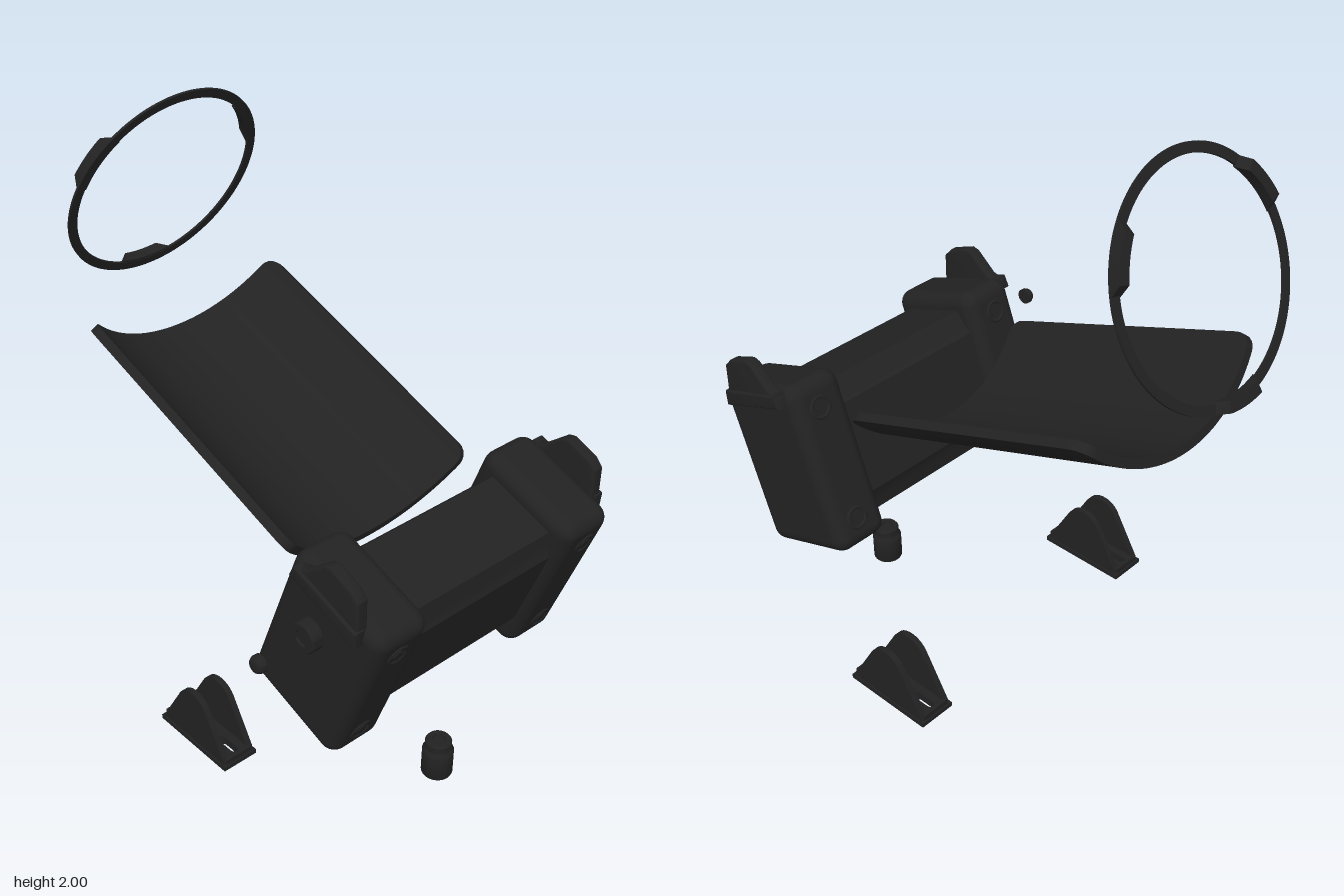
import * as THREE from 'three';
import { RoundedBoxGeometry } from 'three/addons/geometries/RoundedBoxGeometry.js';
import { toCreasedNormals } from 'three/addons/utils/BufferGeometryUtils.js';

const TILT = THREE.MathUtils.degToRad(20);
const material = new THREE.MeshStandardMaterial({ color: 0x222222 });

function add(parent, name, geometry, x = 0, y = 0, z = 0) {
  const mesh = new THREE.Mesh(geometry, material);
  mesh.name = name;
  mesh.position.set(x, y, z);
  parent.add(mesh);
  return mesh;
}

function addGroup(parent, name, x, y, z, tilt = 0) {
  const group = new THREE.Group();
  group.name = name;
  group.position.set(x, y, z);
  group.rotation.x = tilt;
  parent.add(group);
  return group;
}

// Side outline given as (z, y), extruded along x and centred on x = 0
function sideExtrude(shape, width, bevel = 0) {
  const geo = new THREE.ExtrudeGeometry(shape, {
    depth: width - 2 * bevel, curveSegments: 20, bevelEnabled: bevel > 0,
    bevelSize: bevel, bevelThickness: bevel, bevelOffset: -bevel, bevelSegments: 3,
  });
  geo.translate(0, 0, -(width - 2 * bevel) / 2).rotateY(-Math.PI / 2);
  return toCreasedNormals(geo, 0.6);
}

const polygon = (pts) => new THREE.Shape(pts.map(([a, b]) => new THREE.Vector2(a, b)));

function lathe(pts) {
  return toCreasedNormals(new THREE.LatheGeometry(pts.map(([r, y]) => new THREE.Vector2(r, y)), 32), 0.6);
}

// Move every vertex by a rule
function reshape(geo, rule) {
  const p = geo.attributes.position;
  for (let i = 0; i < p.count; i++) p.setXYZ(i, ...rule(p.getX(i), p.getY(i), p.getZ(i)));
  geo.computeVertexNormals();
  return geo;
}

// Curved plate with rounded corners
function troughGeometry() {
  const R = 0.505, half = 0.9 * R, L = 1.025, t = 0.03, r = 0.05;
  return reshape(new THREE.BoxGeometry(2 * half, t, L, 40, 1, 32), (x, y, z) => {
    const zz = (L / 2) * Math.sin((z / L) * Math.PI);
    const d = Math.max(0, Math.abs(zz) - (L / 2 - r));
    const inset = r - Math.sqrt(Math.max(0, r * r - d * d));
    const a = ((x / half) * (half - inset)) / R;
    const rad = R - (y + t / 2);
    return [rad * Math.sin(a), R - rad * Math.cos(a), zz];
  });
}

// Arc-shaped clip, shorter on its rear face
function clipGeometry(angle) {
  const R = 0.346;
  return reshape(new THREE.BoxGeometry(0.2, 0.036, 0.036, 14, 1, 1), (x, y, z) => {
    const phi = angle - (x * (z < 0 ? 0.68 : 1)) / R;
    return [(R + y) * Math.cos(phi), (R + y) * Math.sin(phi), z];
  });
}

function buildRing(root) {
  const ring = addGroup(root, 'ring', 0.05, 1.66, -0.67, 0.39);
  const shape = new THREE.Shape().absarc(0, 0, 0.365, 0, Math.PI * 2);
  shape.holes.push(new THREE.Path().absarc(0, 0, 0.334, 0, Math.PI * 2, true));
  const band = new THREE.ExtrudeGeometry(shape, { depth: 0.008, bevelEnabled: false, curveSegments: 72 });
  add(ring, 'ringBand', toCreasedNormals(band, 0.6), 0, 0, -0.004);
  for (const deg of [30, 150, 270]) {
    add(ring, 'ringClip', clipGeometry(THREE.MathUtils.degToRad(deg)), 0, 0, -0.016);
  }
}

function buildBody(root) {
  const body = addGroup(root, 'body', 0.09, 0.705, 0.565, TILT);

  // Recessed middle with stepped chamfers, mirrored front to back
  const front = [[0.125, -0.24], [0.137, -0.21], [0.15, -0.18], [0.165, -0.16],
    [0.165, 0.16], [0.15, 0.18], [0.137, 0.215], [0.125, 0.24]];
  const back = front.map(([z, y]) => [-z, y]).reverse();
  add(body, 'bodyMiddle', sideExtrude(polygon([...front, ...back]), 0.66));

  const screwRim = new THREE.TorusGeometry(0.034, 0.007, 10, 28);
  const screwHead = new THREE.CylinderGeometry(0.02, 0.024, 0.012, 6).rotateX(Math.PI / 2);
  for (const side of [-1, 1]) {
    add(body, 'endBlock', new RoundedBoxGeometry(0.205, 0.592, 0.391, 6, 0.048), side * 0.392, 0, 0);
    for (const face of [-1, 1]) {
      for (const level of [-1, 1]) {
        add(body, 'screwRim', screwRim, side * 0.4, level * 0.197, face * 0.194);
        add(body, 'screwHead', screwHead, side * 0.4, level * 0.197, face * 0.194);
      }
    }
  }
}

function buildEars(root) {
  const plate = polygon([[0.77, 0.88], [0.77, 1.03], [0.745, 1.058], [0.66, 1.092], [0.635, 1.087],
    [0.56, 1.025], [0.51, 1.015], [0.5, 0.985]]);
  const flange = polygon([[0.77, 0.88], [0.775, 0.935], [0.52, 1.025], [0.5, 0.985]]);
  for (const side of [-1, 1]) {
    const ear = addGroup(root, side < 0 ? 'rightEar' : 'leftEar', 0.09, 0, 0);
    add(ear, 'earPlate', sideExtrude(plate, 0.042, 0.008), side * 0.495, 0, 0);
    add(ear, 'earFlange', sideExtrude(flange, 0.04, 0.006), side * 0.506, 0, 0);
  }
}

function buildBracket(root, name, x) {
  const bracket = addGroup(root, name, x, 0.04, 0.055);

  // Base plate with two slots
  const base = polygon([[-0.066, -0.168], [0.066, -0.168], [0.066, 0.168], [-0.066, 0.168]]);
  for (const c of [-0.108, 0.108]) {
    const slot = new THREE.Path();
    slot.absarc(0, c + 0.03, 0.016, 0, Math.PI);
    slot.absarc(0, c - 0.03, 0.016, Math.PI, Math.PI * 2);
    base.holes.push(slot);
  }
  const plate = (depth) => new THREE.ExtrudeGeometry(base, { depth, bevelEnabled: false, curveSegments: 10 })
    .rotateX(-Math.PI / 2);
  add(bracket, 'bracketBase', plate(0.016));
  add(bracket, 'bracketFloor', plate(0.02).scale(0.78, 1, 0.97), 0, 0.015, 0);

  // Two rounded triangular cheeks
  const cheek = new THREE.Shape();
  cheek.moveTo(-0.16, 0.01);
  cheek.lineTo(0.16, 0.01);
  cheek.lineTo(0.155, 0.028);
  cheek.lineTo(0.07, 0.172);
  cheek.bezierCurveTo(0.042, 0.232, -0.042, 0.232, -0.07, 0.172);
  cheek.lineTo(-0.155, 0.028);
  for (const side of [-1, 1]) {
    add(bracket, 'bracketCheek', sideExtrude(cheek, 0.021), side * 0.05, 0, 0);
  }
}

function buildKnobs(root) {
  // Side knob and its separate cap, both turned about x
  const knob = lathe([[0, -0.022], [0.046, -0.022], [0.05, -0.018], [0.05, 0.018], [0.046, 0.023],
    [0.026, 0.023], [0.024, 0.017], [0, 0.017]]).rotateZ(Math.PI / 2);
  add(root, 'sideKnob', knob, -0.442, 0.825, 0.59);
  const stem = new THREE.CylinderGeometry(0.02, 0.02, 0.04, 20).rotateZ(Math.PI / 2);
  add(root, 'knobStem', stem, -0.412, 0.825, 0.59);
  const cap = lathe([[0, -0.015], [0.028, -0.015], [0.028, 0], [0.022, 0.011], [0.014, 0.015], [0, 0.015]])
    .rotateZ(Math.PI / 2);
  add(root, 'knobCap', cap, -0.63, 0.826, 0.594);

  // Loose post in front
  add(root, 'post', lathe([[0, 0], [0.05, 0], [0.052, 0.005], [0.052, 0.094], [0.044, 0.106], [0.044, 0.13],
    [0.039, 0.137], [0.022, 0.137], [0.02, 0.128], [0, 0.128]]), 0.09, 0, 0.64);
}

export function createModel() {
  const root = new THREE.Group();
  root.name = 'explodedAssembly';
  buildRing(root);
  const trough = add(root, 'trough', troughGeometry(), 0.068, 0.935, -0.19);
  trough.rotation.x = TILT;
  buildBody(root);
  buildEars(root);
  buildBracket(root, 'rightBracket', -0.4);
  buildBracket(root, 'leftBracket', 0.573);
  buildKnobs(root);
  return root;
}
